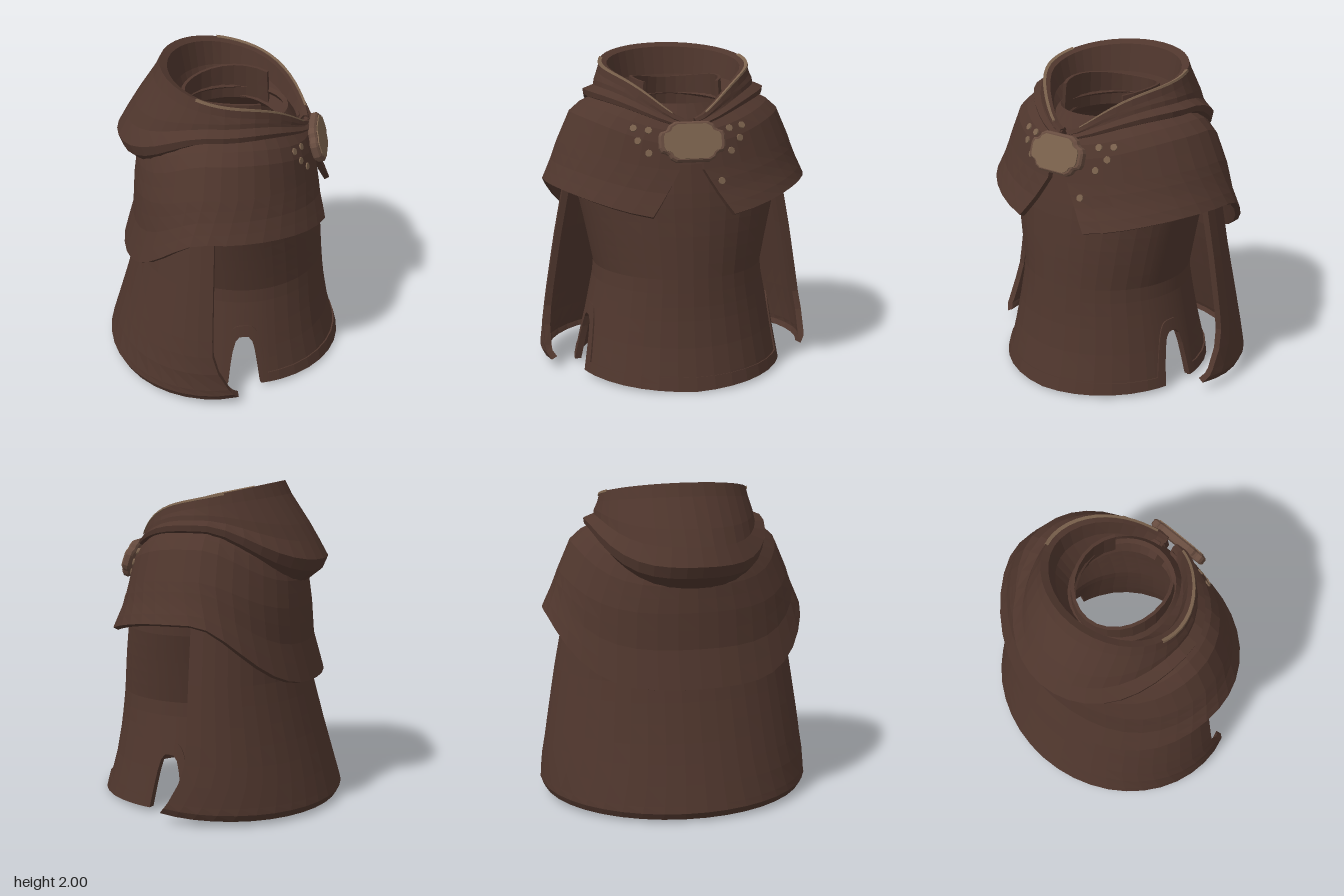
import * as THREE from 'three';

const cloth = new THREE.MeshStandardMaterial({ color: 0x4f362d });
cloth.name = 'brown cloth';
const claspBrown = new THREE.MeshStandardMaterial({ color: 0x674c3f });
claspBrown.name = 'clasp brown';
const tan = new THREE.MeshStandardMaterial({ color: 0x7b624d });
tan.name = 'tan metal';

const { lerp } = THREE.MathUtils;
const range = (n, a = 0, b = 1) => Array.from({ length: n + 1 }, (_, i) => lerp(a, b, i / n));
const smooth = (c) => c * c * (3 - 2 * c);
const linear = (c) => c;
const cubic = (c) => c ** 3;

// Interpolates rows of numbers whose first entry is the parameter
function row(rows, t) {
  let i = 0;
  while (i < rows.length - 2 && t > rows[i + 1][0]) i++;
  const [a, b] = [rows[i], rows[i + 1]];
  const f = THREE.MathUtils.clamp((t - a[0]) / (b[0] - a[0]), 0, 1);
  return a.map((n, k) => lerp(n, b[k], f));
}

// Point on an oval ring; angle 0 is the clasp side (+x)
function oval(theta, cx, front, back, w, y) {
  const c = Math.cos(theta);
  return new THREE.Vector3(cx + (c > 0 ? front - cx : cx - back) * c, y, w * Math.sin(theta));
}

// Ring whose height differs at the clasp side, flanks and rear
function drape(theta, [, front, back, w, yF, yS, yB], easeFront, easeRear) {
  const c = Math.cos(theta);
  const y = c > 0 ? lerp(yS, yF, easeFront(c)) : lerp(yS, yB, easeRear(-c));
  return oval(theta, 0, front, back, w, y);
}

// Thick faceted sheet over P(u, v); visible side is du x dv
function sheet(name, P, us, vs, thick, material, closed = false) {
  const nu = us.length, nv = vs.length, total = nu * nv;
  const outer = us.map((u) => vs.map((v) => P(u, v)));
  const pos = [], inner = [], index = [];
  const at = (i, j) => outer[i][j];
  for (let i = 0; i < nu; i++) {
    for (let j = 0; j < nv; j++) {
      const prev = i > 0 ? i - 1 : closed ? nu - 2 : 0;
      const next = i < nu - 1 ? i + 1 : closed ? 1 : i;
      const du = at(next, j).clone().sub(at(prev, j));
      const dv = at(i, Math.min(j + 1, nv - 1)).clone().sub(at(i, Math.max(j - 1, 0)));
      const n = du.cross(dv).normalize();
      pos.push(...at(i, j).toArray());
      inner.push(...at(i, j).clone().addScaledVector(n, -thick).toArray());
    }
  }
  const quad = (a, b, c, d) => index.push(a, b, c, b, d, c);
  for (let i = 0; i < nu - 1; i++) {
    for (let j = 0; j < nv - 1; j++) {
      const a = i * nv + j, b = a + nv;
      quad(a, b, a + 1, b + 1);
      quad(a + total, a + 1 + total, b + total, b + 1 + total);
    }
    const s = i * nv, e = s + nv - 1;
    quad(s, s + total, s + nv, s + nv + total);
    quad(e, e + nv, e + total, e + nv + total);
  }
  if (!closed) {
    for (let j = 0; j < nv - 1; j++) {
      const s = j, e = (nu - 1) * nv + j;
      quad(s, s + 1, s + total, s + 1 + total);
      quad(e, e + total, e + 1, e + 1 + total);
    }
  }
  const g = new THREE.BufferGeometry();
  g.setAttribute('position', new THREE.Float32BufferAttribute(pos.concat(inner), 3));
  g.setIndex(index);
  const flat = g.toNonIndexed();
  flat.computeVertexNormals();
  const mesh = new THREE.Mesh(flat, material);
  mesh.name = name;
  return mesh;
}

// Tunic: y, front x, back x, half width
const tunicRows = [
  [0, 0.76, -0.52, 0.66], [0.1, 0.735, -0.52, 0.64], [0.25, 0.695, -0.48, 0.61],
  [0.45, 0.66, -0.44, 0.57], [0.65, 0.64, -0.42, 0.53], [0.9, 0.62, -0.44, 0.58],
  [1.15, 0.59, -0.45, 0.635], [1.4, 0.54, -0.42, 0.58], [1.55, 0.48, -0.37, 0.46],
  [1.65, 0.42, -0.3, 0.34], [1.7, 0.39, -0.27, 0.29],
];
const tunicAt = (theta, y, grow = 0) => {
  const [, f, b, w] = row(tunicRows, y);
  return oval(theta, 0.1, f + grow, b - grow, w + grow, y);
};
// Arched side slits cut into a hem
const slitAngle = 1.4;
const arch = (theta, base, top, half) => {
  const d = Math.abs((theta > Math.PI ? 2 * Math.PI - theta : theta) - slitAngle) / half;
  return d < 1 ? base + (top - base) * (1 - d ** 4) : base;
};
const hem = (theta) => arch(theta, 0.01 + 0.02 * Math.abs(Math.sin(theta)), 0.36, 0.16);
const bandTop = (theta) => arch(theta, 0.09, 0.43, 0.24);
// Level rows above the slits, rows following the hem below
const tunicY = (theta, v) => (v < 0.7 ? lerp(1.7, 0.5, v / 0.7) : lerp(0.5, hem(theta), (v - 0.7) / 0.3));

function tunicAngles() {
  const half = [0, 0.05, 0.09, 0.12, 0.14, 0.153, 0.161, 0.18, 0.205, 0.225, 0.24, 0.26];
  const near = [...half.slice(1).map((d) => -d), ...half].map((d) => slitAngle + d);
  const plain = range(36, 0, 2 * Math.PI).filter((t) =>
    Math.abs(Math.min(t, 2 * Math.PI - t) - slitAngle) > 0.29);
  return [...plain, ...near, ...near.map((t) => 2 * Math.PI - t)].sort((a, b) => a - b);
}

// Cape: y, back x, half width
const capeRows = [
  [0.03, -0.75, 0.855], [0.07, -0.77, 0.875], [0.2, -0.73, 0.865], [0.45, -0.655, 0.83],
  [0.8, -0.56, 0.775], [1.2, -0.52, 0.7], [1.5, -0.45, 0.6], [1.65, -0.35, 0.45],
];
// Front edge of the cape sweeps forward near the hem
const capeEdge = (y) => Math.acos((0.03 + 0.19 * Math.max(0, 1 - y / 0.4) ** 1.8) / 0.7);

// Mantle and hood: parameter, front x, back x, half width, y at front, side, back
const mantleRows = [
  [0, 0.46, -0.42, 0.46, 1.62, 1.74, 1.62], [0.15, 0.53, -0.52, 0.59, 1.55, 1.68, 1.5],
  [0.27, 0.56, -0.545, 0.66, 1.47, 1.62, 1.4], [0.5, 0.59, -0.565, 0.74, 1.33, 1.44, 1.24],
  [0.75, 0.63, -0.58, 0.785, 1.19, 1.32, 1.02], [1, 0.69, -0.645, 0.84, 1.05, 1.2, 0.79],
];
const hoodRows = [
  [0, 0.39, -0.255, 0.28, 1.5, 1.62, 1.64], [1, 0.44, -0.31, 0.39, 1.56, 1.77, 1.8],
  [2, 0.485, -0.345, 0.42, 1.62, 1.9, 1.975], [3, 0.515, -0.39, 0.465, 1.62, 1.915, 2.0],
  [4, 0.525, -0.43, 0.48, 1.6, 1.86, 1.92], [5, 0.52, -0.55, 0.5, 1.6, 1.81, 1.74],
  [6, 0.525, -0.61, 0.505, 1.6, 1.78, 1.64], [7, 0.545, -0.67, 0.57, 1.59, 1.755, 1.53],
  [8, 0.54, -0.64, 0.565, 1.58, 1.72, 1.46], [9, 0.49, -0.54, 0.5, 1.57, 1.69, 1.38],
];
const rimEase = (c) => 0.35 * c + 0.65 * c ** 4;
// The hood narrows to a point at the clasp; its folds hang lower than its rim
function hoodAt(theta, v) {
  const p = v < 5 ? drape(theta, row(hoodRows, v), rimEase, linear) : drape(theta, row(hoodRows, v), cubic, smooth);
  p.z *= 1 - 0.3 * Math.min(1, v / 2) * Math.max(0, Math.cos(theta)) ** 2;
  return p;
}
const spread = (u, edge) => lerp(edge, 2 * Math.PI - edge, u);

function buildClasp() {
  const quarter = [[0.2, 0.035], [0.188, 0.06], [0.16, 0.068], [0.146, 0.078], [0.135, 0.1], [0.1, 0.12]];
  const flip = (sx, sy) => quarter.map(([x, y]) => new THREE.Vector2(x * sx, y * sy));
  const points = [...flip(1, 1), ...flip(-1, 1).reverse(), ...flip(-1, -1), ...flip(1, -1).reverse()];
  const plate = (name, scale, z, depth, bevel, material) => {
    const shape = new THREE.Shape(points.map((p) => p.clone().multiplyScalar(scale)));
    const g = new THREE.ExtrudeGeometry(shape, {
      depth, bevelEnabled: bevel > 0, bevelSize: bevel, bevelThickness: bevel, bevelOffset: -bevel, bevelSegments: 1,
    });
    g.translate(0, 0, z).rotateY(Math.PI / 2);
    const mesh = new THREE.Mesh(g, material);
    mesh.name = name;
    return mesh;
  };
  const clasp = new THREE.Group();
  clasp.name = 'clasp';
  clasp.add(plate('claspBase', 1, -0.02, 0.03, 0.011, claspBrown));
  clasp.add(plate('claspFace', 0.86, 0.02, 0.008, 0, tan));
  clasp.position.set(0.585, 1.5, 0);
  clasp.rotation.z = 0.32;
  return clasp;
}

export function createModel() {
  const model = new THREE.Group();
  model.name = 'hoodedCloak';

  // Tunic with a raised hem band
  const angles = tunicAngles();
  model.add(sheet('tunic', (t, v) => tunicAt(t, tunicY(t, v)), angles, range(20), 0.03, cloth, true));
  model.add(sheet('tunicHemBand', (t, v) => tunicAt(t, lerp(bandTop(t), hem(t) - 0.004, v), 0.01),
    angles, range(2), 0.02, cloth, true));

  // Long cape around the rear, its hem rising toward the front edges
  model.add(sheet('cape', (u, v) => {
    const y = lerp(1.65, 0.03, v);
    const [, back, w] = row(capeRows, y);
    const lift = v * (0.045 * (2 * u - 1) ** 2 - 0.015);
    return oval(spread(u, capeEdge(y)), 0, 0.7, back, w, y + lift);
  }, range(24), [...range(13, 0, 0.95), 0.975, 1], 0.04, cloth));

  // Shoulder mantle, parted below the clasp
  const mantle = sheet('mantle', (u, v) =>
    drape(spread(u, 0.1 + 0.4 * Math.max(0, v - 0.5)), row(mantleRows, v), cubic, smooth),
  range(36), [0, 0.15, 0.27, 0.38, 0.5, 0.62, 0.75, 0.88, 1], 0.035, cloth);
  model.add(mantle);

  // Lowered hood and the inner collar
  model.add(sheet('hood', (u, v) => hoodAt(spread(u, 0.1), v), range(36), range(9, 0, 9), 0.012, cloth));
  model.add(sheet('innerCollar', (u, v) => {
    const t = spread(u, 0.95);
    return oval(t, 0.06, lerp(0.38, 0.4, v), lerp(-0.265, -0.27, v), lerp(0.285, 0.3, v),
      lerp(1.79 + 0.04 * Math.sin(t) ** 2, 1.6, v));
  }, range(18), range(2), 0.02, cloth));

  // Trim strips along the outer lip of the hood, one each side
  for (const [a, b] of [[0.3, 1.85], [2 * Math.PI - 1.85, 2 * Math.PI - 0.3]]) {
    model.add(sheet('rimTrim', (t, v) => {
      const p = hoodAt(t, v);
      return p.set(p.x * 1.012, p.y + 0.006, p.z * 1.012);
    }, range(14, a, b), [2.55, 3, 3.25], 0.005, tan));
  }

  // Clasp and the studs scattered on the mantle
  model.add(buildClasp());
  mantle.updateMatrixWorld(true);
  const spots = [[1.57, 0.33], [1.5, 0.31], [1.43, 0.25], [1.56, 0.245]];
  const studs = [...spots, ...spots.map(([y, z]) => [y, -z]), [1.26, -0.18]];
  for (const [y, z] of studs) {
    const ray = new THREE.Raycaster(new THREE.Vector3(2, y, z), new THREE.Vector3(-1, 0, 0));
    const hit = ray.intersectObject(mantle)[0];
    if (!hit) continue;
    const stud = new THREE.Mesh(new THREE.CylinderGeometry(0.021, 0.023, 0.009, 8), tan);
    stud.name = 'stud';
    stud.position.copy(hit.point).addScaledVector(hit.face.normal, 0.003);
    stud.quaternion.setFromUnitVectors(new THREE.Vector3(0, 1, 0), hit.face.normal);
    model.add(stud);
  }
  return model;
}
